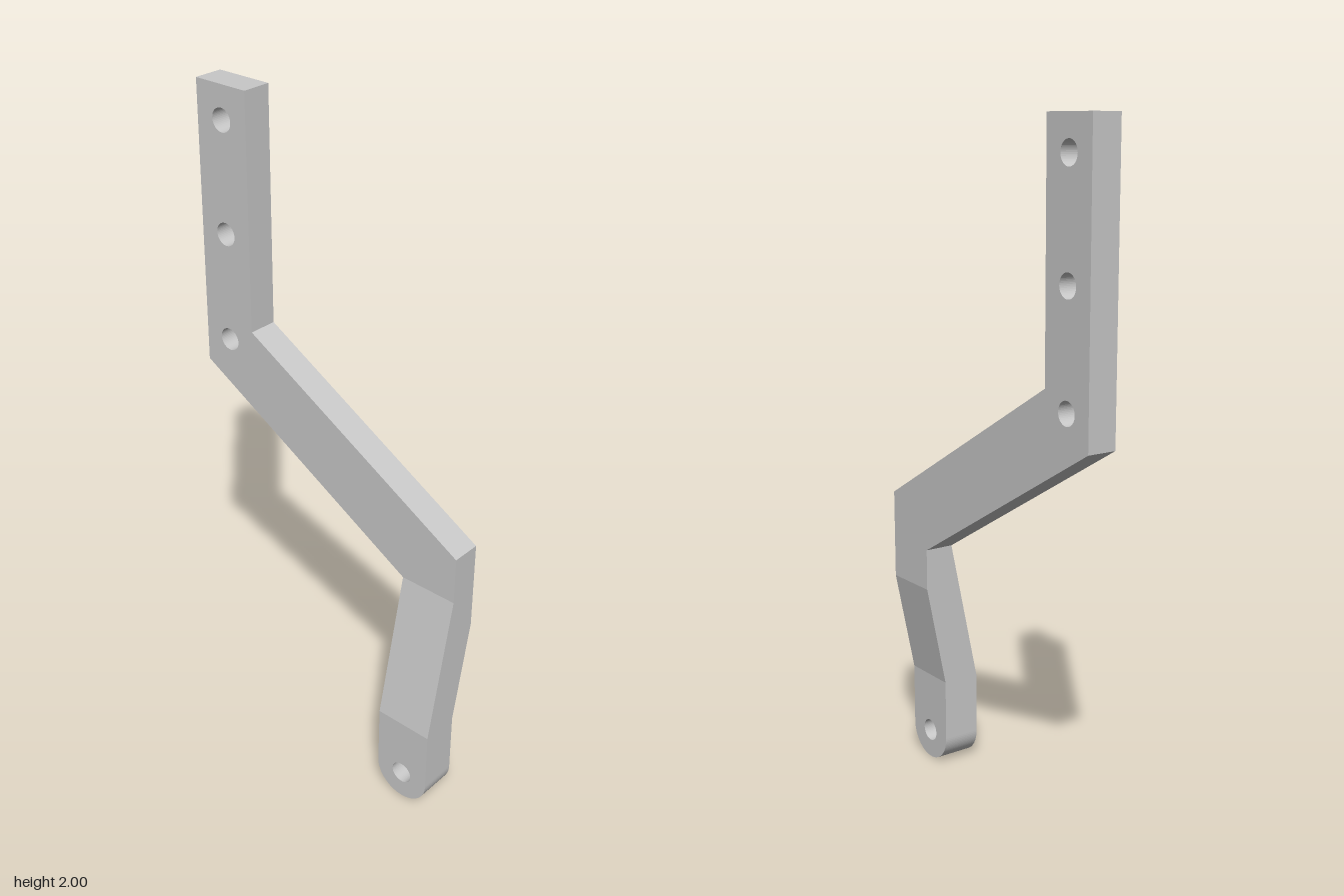
import * as THREE from 'three';

const HALF = 0.468;   // outer z reach
const INNER = 0.288;  // inner edge of each leg
const MID = 0.378;    // centre line of each leg
const HOLE = 0.034;

// Side profiles are drawn as (-z, y) and extruded along +x.
function sidePlate(shape, x0, x1) {
  const g = new THREE.ExtrudeGeometry(shape, { depth: x1 - x0, bevelEnabled: false, curveSegments: 24 });
  g.rotateY(Math.PI / 2);
  g.translate(x0, 0, 0);
  return g;
}

function drill(shape, x, y) {
  const hole = new THREE.Path();
  hole.absarc(x, y, HOLE, 0, Math.PI * 2, true);
  shape.holes.push(hole);
}

const polygon = (pts) => new THREE.Shape(pts.map(([x, y]) => new THREE.Vector2(x, y)));

export function createModel() {
  const group = new THREE.Group();
  group.name = 'offsetBracket';
  const steel = new THREE.MeshStandardMaterial({ color: 0xc8c8c8 });
  steel.name = 'light grey metal';

  const add = (name, geometry) => {
    const mesh = new THREE.Mesh(geometry, steel);
    mesh.name = name;
    group.add(mesh);
  };

  // Upright with three bolt holes, and the slanted arm
  const arm = polygon([
    [-HALF, 0.722], [-INNER, 0.722], [HALF, 1.157], [HALF, 2],
    [INNER, 2], [INNER, 1.302], [-HALF, 0.868],
  ]);
  [1.25, 1.576, 1.902].forEach((y) => drill(arm, MID, y));
  add('uprightAndArm', sidePlate(arm, 0, 0.09));

  // Sideways joggle of the lower leg, drawn from the front
  const joggle = polygon([[-0.09, 0.28], [0.027, 0.28], [0.09, 0.597], [0.09, 0.722], [0, 0.722]]);
  const joggleGeometry = new THREE.ExtrudeGeometry(joggle, { depth: HALF - INNER, bevelEnabled: false });
  joggleGeometry.translate(0, 0, INNER);
  add('joggle', joggleGeometry);

  // Rounded foot with one bolt hole
  const foot = new THREE.Shape();
  foot.moveTo(-INNER, 0.28);
  foot.lineTo(-HALF, 0.28);
  foot.lineTo(-HALF, 0.09);
  foot.absarc(-MID, 0.09, 0.09, Math.PI, Math.PI * 2, false);
  foot.lineTo(-INNER, 0.28);
  drill(foot, -MID, 0.09);
  add('foot', sidePlate(foot, -0.09, 0.027));

  return group;
}
